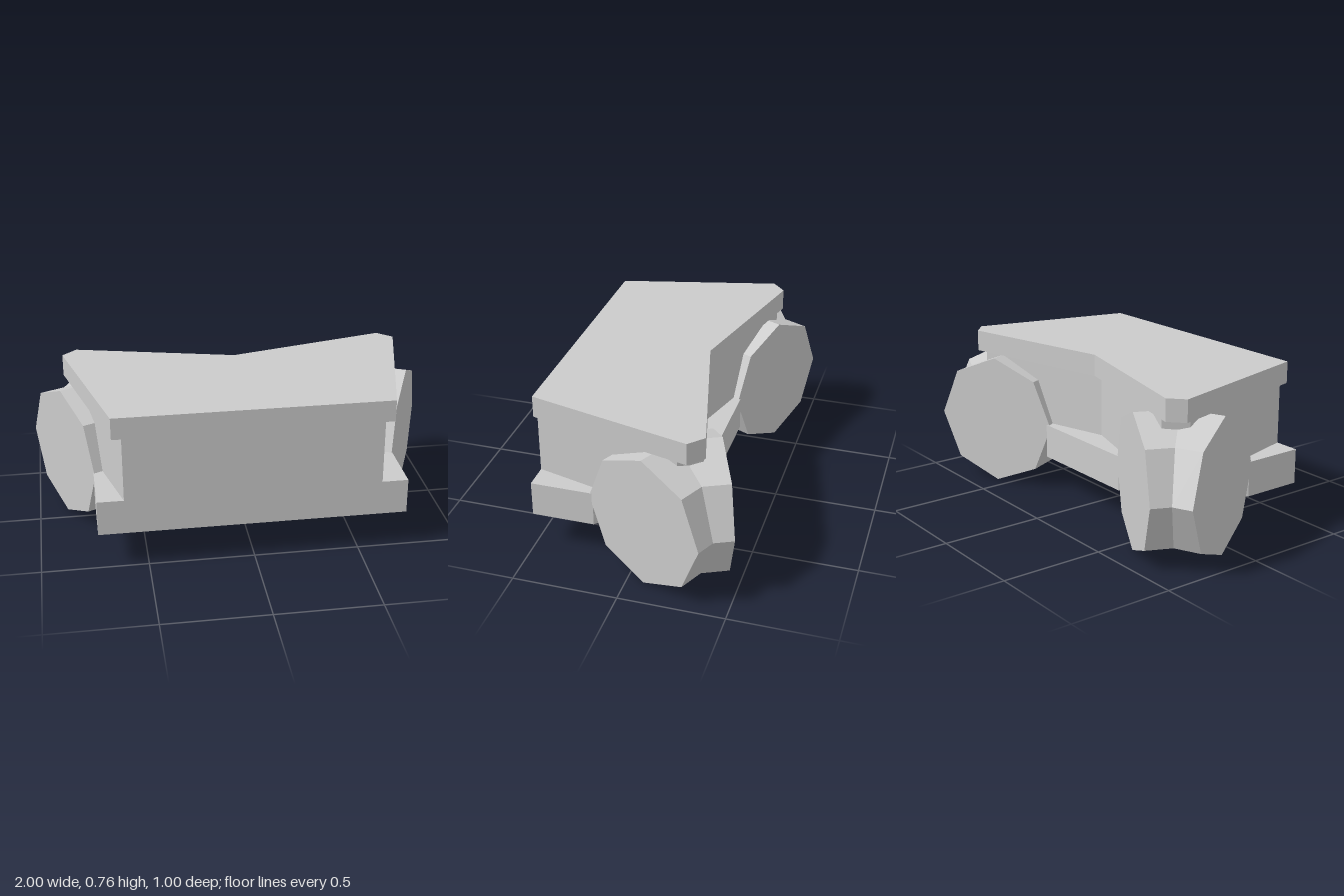
import * as THREE from 'three';

const material = new THREE.MeshStandardMaterial({ color: 0xcccccc, flatShading: true });

// Slab from one half of a symmetric plan outline ([x, z], front to back), between two heights
function slab(name, half, y0, y1) {
  const mirrored = half.filter(([x]) => x > 0).reverse().map(([x, z]) => [-x, z]);
  const outline = [...half, ...mirrored].map(([x, z]) => new THREE.Vector2(x, -z));
  const geometry = new THREE.ExtrudeGeometry(new THREE.Shape(outline), {
    depth: y1 - y0, bevelEnabled: false,
  });
  geometry.rotateX(-Math.PI / 2).translate(0, y0, 0);
  const mesh = new THREE.Mesh(geometry, material);
  mesh.name = name;
  return mesh;
}

// Two eight-sided drums mitred together: one end faces the side, the other the back
function miteredDrum(name, side) {
  const N = 8, R = 0.3275, K = 0.498;
  const rings = [[], [], []];
  for (let i = 0; i < N; i++) {
    const a = (i / N) * Math.PI * 2;
    const c = R * Math.cos(a), y = R + R * Math.sin(a);
    const x = 0.862 + c * 0.423, z = -0.078 - c * 0.906;
    // distance along the drum axis to the diagonal mitre plane x + z = K
    const t = (x + z - K) / (0.906 + 0.423);
    rings[0].push([x, y, z]);
    rings[1].push([x - t * 0.906, y, z - t * 0.423]);
    rings[2].push([K - z, y, K - x]);
  }
  const positions = [];
  const tri = (a, b, c) => {
    for (const p of side > 0 ? [a, b, c] : [a, c, b]) positions.push(p[0] * side, p[1], p[2]);
  };
  for (let r = 0; r < 2; r++) {
    for (let i = 0; i < N; i++) {
      const j = (i + 1) % N;
      const a = rings[r][i], b = rings[r][j], c = rings[r + 1][i], d = rings[r + 1][j];
      tri(a, c, b);
      tri(b, c, d);
    }
  }
  // flat end faces
  for (let i = 1; i < N - 1; i++) {
    tri(rings[0][0], rings[0][i], rings[0][i + 1]);
    tri(rings[2][0], rings[2][i + 1], rings[2][i]);
  }
  const geometry = new THREE.BufferGeometry();
  geometry.setAttribute('position', new THREE.Float32BufferAttribute(positions, 3));
  geometry.computeVertexNormals();
  const mesh = new THREE.Mesh(geometry, material);
  mesh.name = name;
  return mesh;
}

export function createModel() {
  const group = new THREE.Group();
  group.name = 'body';
  group.add(
    slab('base', [[0.73, 0.5], [0.73, 0.2], [0.3, -0.235]], 0.175, 0.345),
    slab('core', [[0.605, 0.5], [0.795, -0.22], [0.72, -0.32], [0, -0.11]], 0.345, 0.655),
    slab('topPlate', [[0.65, 0.5], [0.84, -0.275], [0.77, -0.34], [0, -0.15]], 0.655, 0.76),
    miteredDrum('leftDrum', 1),
    miteredDrum('rightDrum', -1),
  );
  return group;
}
